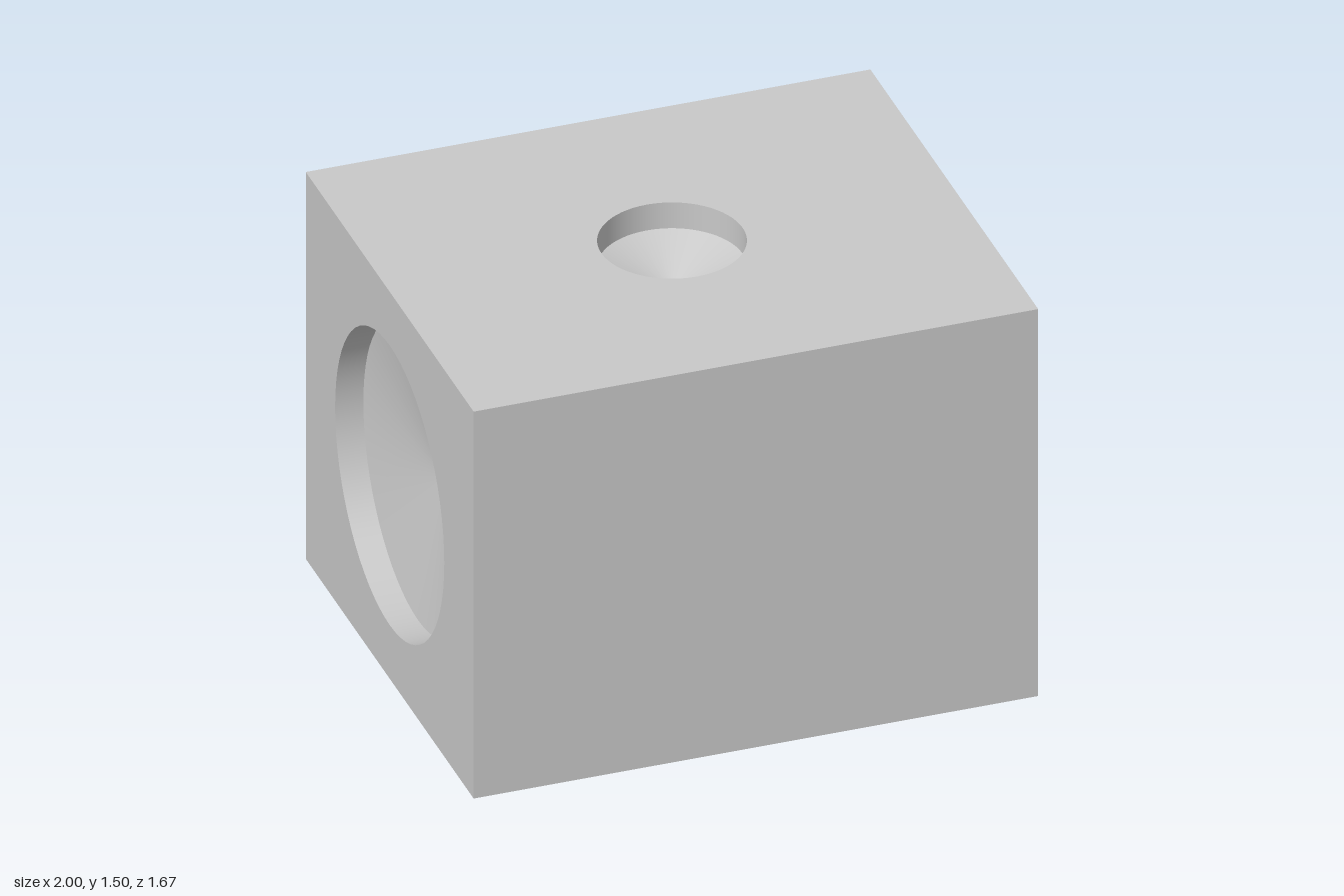
import * as THREE from 'three';

const W = 2, H = 1.5, D = 1.667;   // block size
const DEPTH = 0.1;                 // straight wall depth, and again for the cone
const SEG = 64;

const grey = new THREE.MeshStandardMaterial({ color: 0xc8c8c8 });
grey.name = 'grey';

function addMesh(parent, name, geometry) {
  const mesh = new THREE.Mesh(geometry, grey);
  mesh.name = name;
  parent.add(mesh);
}

// Surface of revolution about z, profile running inward from the rim
function revolve(...points) {
  const profile = points.map(([r, z]) => new THREE.Vector2(r, z));
  return new THREE.LatheGeometry(profile, SEG).rotateX(Math.PI / 2);
}

// One side of the block facing +z, with an optional drilled recess
function createSide(name, w, h, radius = 0) {
  const side = new THREE.Group();
  side.name = name;
  const shape = new THREE.Shape([
    new THREE.Vector2(-w / 2, -h / 2), new THREE.Vector2(w / 2, -h / 2),
    new THREE.Vector2(w / 2, h / 2), new THREE.Vector2(-w / 2, h / 2),
  ]);
  if (radius) {
    shape.holes.push(new THREE.Path().absarc(0, 0, radius, 0, Math.PI * 2, true));
    addMesh(side, 'recessWall', revolve([radius, 0], [radius, -DEPTH]));
    addMesh(side, 'recessCone', revolve([radius, -DEPTH], [0, -2 * DEPTH]));
  }
  addMesh(side, 'panel', new THREE.ShapeGeometry(shape, SEG / 2));
  return side;
}

export function createModel() {
  const model = new THREE.Group();
  model.name = 'drilledBlock';

  // Opposite sides match: plain front and back, large end recesses, small top and bottom ones
  for (const s of [1, -1]) {
    const face = createSide(s > 0 ? 'front' : 'back', W, H);
    face.position.set(0, H / 2, s * D / 2);
    face.rotation.y = s > 0 ? 0 : Math.PI;

    const end = createSide(s > 0 ? 'leftEnd' : 'rightEnd', D, H, 0.542);
    end.position.set(s * W / 2, H / 2, 0);
    end.rotation.y = s * Math.PI / 2;

    const cap = createSide(s > 0 ? 'top' : 'bottom', W, D, 0.25);
    cap.position.y = s > 0 ? H : 0;
    cap.rotation.x = -s * Math.PI / 2;

    model.add(face, end, cap);
  }
  return model;
}
